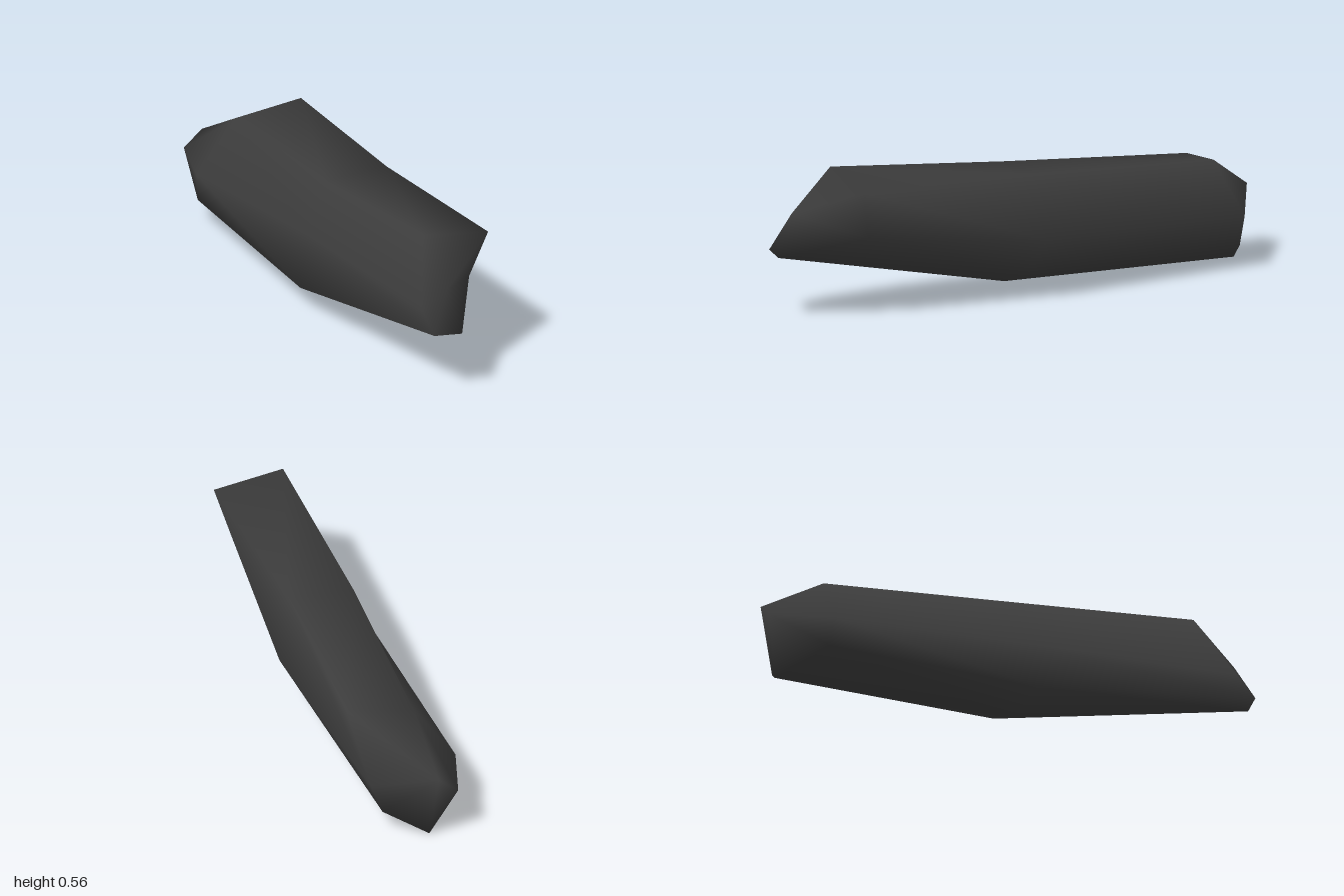
import * as THREE from 'three';

// Each ring runs: bottom, lower left, left, top left, top right, right, lower right
const frontRing = [
  [-0.04, 0.25, 1.0], [-0.04, 0.25, 1.0], [0.14, 0.33, 0.72], [0.193, 0.52, 0.77],
  [-0.075, 0.56, 0.76], [-0.155, 0.33, 0.9], [-0.145, 0.255, 0.98],
];
const middleRing = [
  [-0.04, 0.035, 0.04], [0.13, 0.1, 0.04], [0.212, 0.245, 0.0], [0.165, 0.49, 0.03],
  [-0.085, 0.48, 0.02], [-0.165, 0.28, 0.03], [-0.212, 0.09, 0.06],
];
const backRing = [
  [-0.04, 0.0, -0.935], [0.12, 0.09, -0.87], [0.165, 0.21, -0.865], [0.205, 0.457, -0.71],
  [-0.05, 0.42, -0.74], [-0.202, 0.21, -0.77], [-0.19, 0.1, -0.78],
];
const frontKnob = [-0.065, 0.405, 0.93];
const backRidge = [[-0.055, 0.27, -1.0], [-0.13, 0.21, -1.0]];

function stoneGeometry() {
  const points = [...frontRing, ...middleRing, ...backRing, frontKnob, ...backRidge];
  const n = frontRing.length;
  const knob = 3 * n, ridgeA = knob + 1, ridgeB = knob + 2;
  const index = [];
  // The first two front corners share one point
  const weld = (i) => (i === 1 ? 0 : i);
  const tri = (...corners) => {
    const [a, b, c] = corners.map(weld);
    if (a !== b && b !== c && c !== a) index.push(a, b, c);
  };

  // Long sides
  for (let r = 0; r < 2; r++) {
    for (let i = 0; i < n; i++) {
      const j = (i + 1) % n;
      const f = r * n, b = f + n;
      tri(f + i, b + i, f + j);
      tri(f + j, b + i, b + j);
    }
  }
  // Front end, fanned around the knob, and back end, fanned around the ridge
  const back = 2 * n;
  for (let i = 0; i < n; i++) {
    const j = (i + 1) % n;
    tri(knob, i, j);
    tri(i < 4 ? ridgeA : ridgeB, back + j, back + i);
  }
  tri(back + 4, ridgeA, ridgeB);
  tri(ridgeA, back, ridgeB);

  const geometry = new THREE.BufferGeometry();
  geometry.setAttribute('position', new THREE.Float32BufferAttribute(points.flat(), 3));
  geometry.setIndex(index);
  geometry.computeVertexNormals();
  return geometry;
}

export function createModel() {
  const group = new THREE.Group();
  group.name = 'longStone';
  const darkStone = new THREE.MeshStandardMaterial({ color: 0x3c3c3c });
  darkStone.name = 'dark stone';
  const stone = new THREE.Mesh(stoneGeometry(), darkStone);
  stone.name = 'stoneBody';
  group.add(stone);
  return group;
}
